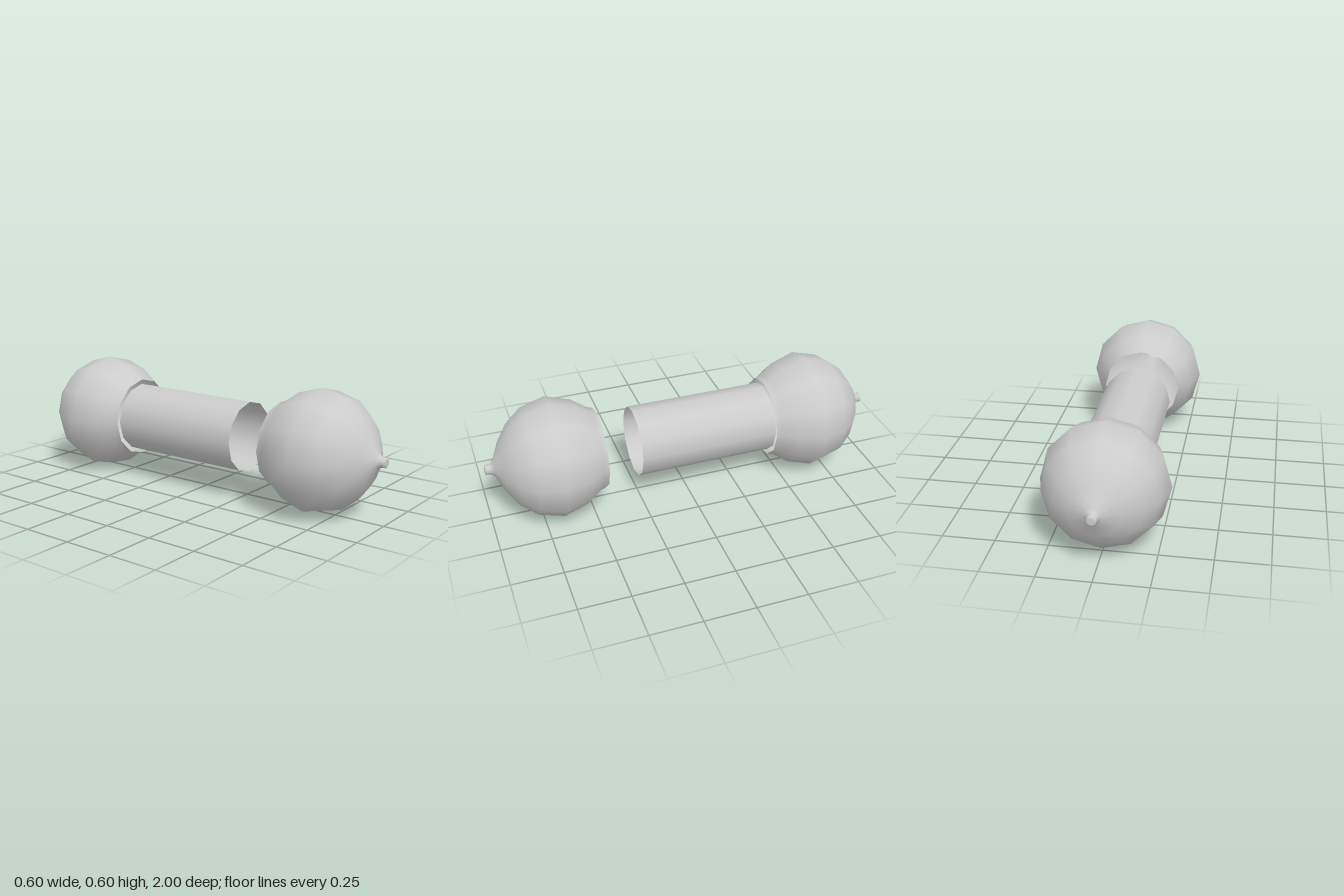
import * as THREE from 'three';

const SIDES = 12;
const AXIS_Y = 0.3;

const material = new THREE.MeshStandardMaterial({ color: 0xcccccc, side: THREE.DoubleSide });

// Hollow bulb profile: [radius, distance along the axis], open rim to closed nub
const BULB = [
  [0.2, 0.435], [0.21, 0.465], [0.26, 0.535], [0.298, 0.66], [0.265, 0.785],
  [0.2, 0.865], [0.12, 0.92], [0.04, 0.955], [0.027, 0.972], [0.024, 0.985],
  [0.024, 0.998], [0.015, 1.0], [0, 1.0],
];

function bulb(name, direction) {
  const profile = BULB.map(([r, d]) => new THREE.Vector2(r, d));
  const geometry = new THREE.LatheGeometry(profile, SIDES);
  geometry.rotateX(direction * Math.PI / 2);
  const mesh = new THREE.Mesh(geometry, material);
  mesh.name = name;
  mesh.position.y = AXIS_Y;
  return mesh;
}

export function createModel() {
  const model = new THREE.Group();
  model.name = 'twoBulbsWithHandle';

  // Matching bulbs at both ends, open towards the middle
  model.add(bulb('frontBulb', 1), bulb('backBulb', -1));

  // Open tube attached to the back bulb, with a gap before the front one
  const backEnd = -0.44, frontEnd = 0.26;
  const tube = new THREE.CylinderGeometry(0.175, 0.175, frontEnd - backEnd, SIDES, 1, true);
  tube.rotateX(Math.PI / 2);
  const handle = new THREE.Mesh(tube, material);
  handle.name = 'handleTube';
  handle.position.set(0, AXIS_Y, (frontEnd + backEnd) / 2);
  model.add(handle);

  return model;
}
